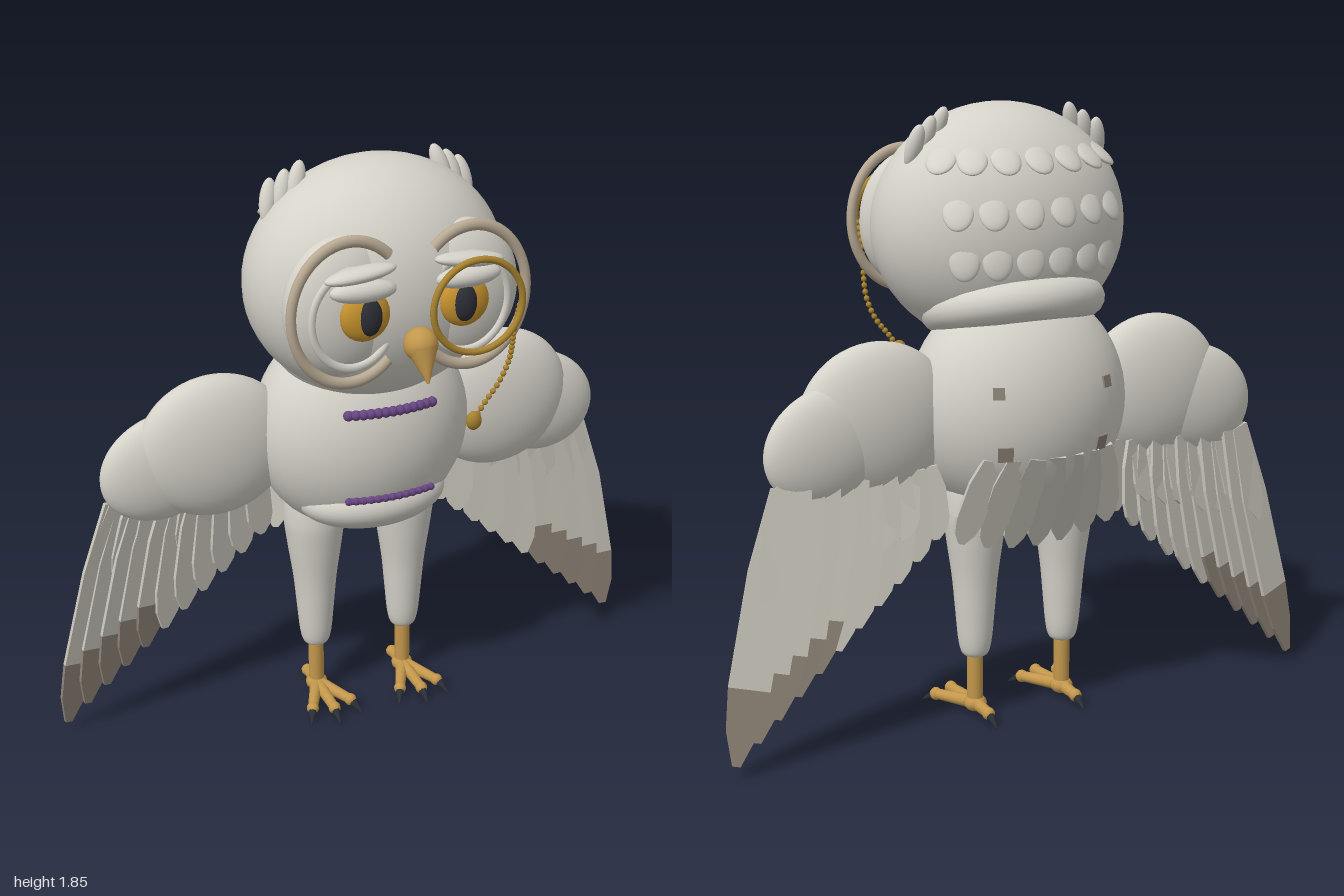
import * as THREE from 'three';

const mat = (name, color) => {
  const m = new THREE.MeshStandardMaterial({ color });
  m.name = name;
  return m;
};
const V = (x, y, z) => new THREE.Vector3(x, y, z);

export function createModel() {
  const plumage = mat('plumage', 0xd5d2c9);
  const quill = mat('quill', 0xc9c6bb);
  const tipBrown = mat('tipBrown', 0x8d8276);
  const beige = mat('beige', 0xb9aa94);
  const horn = mat('horn', 0xc3974c);
  const amber = mat('amber', 0xc8932f);
  const brass = mat('brass', 0xa9832f);
  const dark = mat('dark', 0x2b2e35);
  const purple = mat('purple', 0x674683);

  const root = new THREE.Group();
  root.name = 'owl';
  const add = (name, geo, m, parent = root) => {
    const mesh = new THREE.Mesh(geo, m);
    mesh.name = name;
    parent.add(mesh);
    return mesh;
  };
  // ellipsoid, with fewer segments on small parts
  const blob = (name, m, p, r, rz = 0, parent = root) => {
    const size = Math.max(...r);
    const seg = size > 0.15 ? 40 : size > 0.04 ? 20 : 12;
    const mesh = add(name, new THREE.SphereGeometry(1, seg, Math.round(seg * 0.7)), m, parent);
    mesh.position.set(...p);
    mesh.scale.set(...r);
    mesh.rotation.z = rz;
    return mesh;
  };
  // tapered rod between two points
  const rod = (name, m, a, b, ra, rb, parent = root) => {
    const d = b.clone().sub(a);
    const mesh = add(name, new THREE.CylinderGeometry(rb, ra, d.length(), 14), m, parent);
    mesh.position.copy(a).addScaledVector(d, 0.5);
    mesh.quaternion.setFromUnitVectors(V(0, 1, 0), d.normalize());
    return mesh;
  };
  const plate = (pts, t) => {
    const shape = new THREE.Shape(pts.map(p => new THREE.Vector2(...p)));
    return new THREE.ExtrudeGeometry(shape, { depth: t, bevelEnabled: false }).translate(0, 0, -t / 2);
  };
  // feather blade from base to tip, with a separately coloured end
  const feather = (name, base, tip, w, t, endMat, twist, parent) => {
    const g = new THREE.Group();
    g.name = name;
    const d = tip.clone().sub(base), L = d.length();
    add('blade', plate([[-0.6 * w, 0], [0.6 * w, 0], [w, 0.3 * L], [w, 0.72 * L], [-w, 0.72 * L], [-w, 0.3 * L]], t), quill, g);
    add('bladeTip', plate([[-w, 0.72 * L], [w, 0.72 * L], [0.75 * w, 0.88 * L], [0.2 * w, L], [-0.2 * w, L], [-0.75 * w, 0.88 * L]], t), endMat, g);
    const y = d.normalize(), x = y.clone().cross(V(0, 0, 1)).normalize();
    g.quaternion.setFromRotationMatrix(new THREE.Matrix4().makeBasis(x, y, x.clone().cross(y)));
    g.position.copy(base);
    g.rotateY(twist);
    parent.add(g);
  };

  // torso, belly, collar and head
  blob('body', plumage, [0, 0.97, -0.125], [0.345, 0.35, 0.26]);
  blob('belly', plumage, [0, 0.765, -0.04], [0.24, 0.1, 0.16]);
  const collar = add('collar', new THREE.TorusGeometry(0.18, 0.062, 18, 48).rotateX(Math.PI / 2), plumage);
  collar.position.set(0, 1.255, -0.1);
  collar.scale.x = 1.18;
  collar.rotation.x = 0.25;
  blob('head', plumage, [0, 1.49, -0.01], [0.4, 0.36, 0.295]);

  // feather rows on the back of the head
  for (const [y, spread, n] of [[1.7, 0.95, 7], [1.56, 0.7, 6], [1.42, 0.65, 6]]) {
    const c = Math.sqrt(1 - ((y - 1.49) / 0.36) ** 2);
    for (let i = 0; i < n; i++) {
      const a = spread * (2 * i / (n - 1) - 1);
      const p = [0.395 * c * Math.sin(a), y, -0.01 - 0.29 * c * Math.cos(a)];
      const f = blob('headFeather', plumage, p, [0.045, 0.058, 0.014]);
      f.lookAt(p[0] + p[0] / 0.16, y + (y - 1.49) / 0.13, p[2] + p[2] / 0.087);
      f.rotateX(-0.3);
    }
  }

  // beak
  blob('beak', horn, [0, 1.395, 0.325], [0.05, 0.05, 0.05]);
  rod('beakTip', horn, V(0, 1.385, 0.335), V(0, 1.295, 0.38), 0.046, 0.003);

  for (const s of [1, -1]) {
    const side = new THREE.Group();
    side.name = s > 0 ? 'leftSide' : 'rightSide';
    root.add(side);
    const P = (x, y, z) => V(s * x, y, z);

    // facial disc with a beige rim open towards the beak
    blob('faceDisc', plumage, [s * 0.185, 1.49, 0.19], [0.175, 0.21, 0.088], 0, side);
    const rimGeo = new THREE.TorusGeometry(1, 0.085, 12, 64, 4.6).rotateZ(s > 0 ? -2.3 : Math.PI - 2.3);
    const rim = add('faceRim', rimGeo, beige, side);
    rim.scale.set(0.175, 0.21, 0.17);
    rim.position.set(s * 0.185, 1.49, 0.255);
    const fold = add('faceFold', new THREE.TorusGeometry(1, 0.09, 10, 48), plumage, side);
    fold.scale.set(0.125, 0.145, 0.1);
    fold.position.set(s * 0.175, 1.47, 0.258);

    // eye, lid and brow
    blob('eye', amber, [s * 0.152, 1.488, 0.285], [0.075, 0.075, 0.032], 0, side);
    blob('pupil', dark, [s * 0.145, 1.49, 0.305], [0.036, 0.055, 0.024], 0, side);
    blob('eyelid', plumage, [s * 0.16, 1.565, 0.292], [0.1, 0.033, 0.036], s * 0.03, side);
    blob('brow', plumage, [s * 0.165, 1.612, 0.285], [0.108, 0.022, 0.036], s * -0.1, side);

    // ear tuft
    for (let i = 0; i < 3; i++) {
      const p = [s * (0.225 + i * 0.04), 1.782 - i * 0.024, -0.05 - i * 0.008];
      const tuft = blob('earTuft', plumage, p, [0.026, 0.066, 0.022], s * (0.3 - i * 0.05), side);
      tuft.rotation.x = -0.25;
    }

    // wing muscles
    blob('shoulder', plumage, [s * 0.47, 0.965, -0.135], [0.245, 0.23, 0.095], 0, side);
    blob('forearm', plumage, [s * 0.625, 0.915, -0.155], [0.205, 0.17, 0.07], s * -0.35, side);

    // flight feathers, overlapping from the body out to the wing tip
    const n = 11;
    for (let i = 0; i < n; i++) {
      const t = i / (n - 1);
      const base = P(0.33 + 0.45 * t, 0.82 - 0.01 * t, -0.18 - 0.01 * (i % 2));
      const tip = P(0.31 + 0.655 * t, 0.6 - 0.56 * t, -0.195 - 0.035 * t);
      feather('flightFeather', base, tip, 0.046 + 0.014 * t, 0.012, i > 5 ? tipBrown : quill, s * 0.3, side);
    }
    // shorter covert feathers
    for (let i = 0; i < 7; i++) {
      const t = i / 6;
      feather('covert', P(0.4 + 0.36 * t, 0.84, -0.175), P(0.42 + 0.43 * t, 0.62 - 0.12 * t, -0.205), 0.045, 0.012, quill, s * 0.25, side);
    }

    // leg: feathered thigh, bare shank
    const profile = [[0, 0.2], [0.035, 0.2], [0.05, 0.24], [0.06, 0.34], [0.07, 0.45], [0.088, 0.58], [0.096, 0.67], [0.08, 0.76], [0, 0.8]];
    const curve = new THREE.SplineCurve(profile.map(p => new THREE.Vector2(...p)));
    const outline = curve.getPoints(40).map(p => new THREE.Vector2(Math.max(0, p.x), p.y));
    const thigh = add('thigh', new THREE.LatheGeometry(outline, 28), plumage, side);
    thigh.position.set(s * 0.153, 0, -0.14);
    rod('shank', horn, P(0.153, 0.04, -0.14), P(0.153, 0.22, -0.14), 0.025, 0.025, side);
    blob('ankle', horn, [s * 0.153, 0.042, -0.14], [0.036, 0.027, 0.036], 0, side);
    // three front toes and one back toe, each with a claw
    for (const [a, len] of [[-0.45, 0.15], [0, 0.16], [0.45, 0.15], [Math.PI, 0.085]]) {
      const at = (r, y) => P(0.153 + r * Math.sin(a), y, -0.14 + r * Math.cos(a));
      rod('toe', horn, at(0, 0.042), at(len, 0.035), 0.021, 0.016, side);
      blob('toeJoint', horn, at(len, 0.035).toArray(), [0.02, 0.02, 0.02], 0, side);
      rod('claw', dark, at(len, 0.037), at(len + 0.052, 0.006), 0.017, 0.002, side);
    }

    // small brown flecks lying on the back
    for (const [x, y, w] of [[0.18, 1.05, 0.035], [0.16, 0.87, 0.045]]) {
      const k = Math.sqrt(1 - (x / 0.345) ** 2 - ((y - 0.97) / 0.35) ** 2);
      const f = add('backFleck', new THREE.BoxGeometry(w, w, 0.009), tipBrown, side);
      f.position.set(s * x, y, -0.125 - 0.26 * k);
      f.lookAt(s * (x + x / 0.119), y + (y - 0.97) / 0.1225, f.position.z - k / 0.26);
    }
  }

  // tail fan
  for (let i = -3; i <= 3; i++) {
    const u = i / 3;
    feather('tailFeather', V(0.19 * u, 0.85, -0.365 + 0.05 * u * u), V(0.25 * u, 0.55 + 0.04 * u * u, -0.235), 0.042, 0.014, quill, 0.15, root);
  }

  // eyeglass with a beaded chain and pendant
  const glass = add('eyeglassRim', new THREE.TorusGeometry(0.138, 0.01, 12, 56), brass);
  glass.position.set(0.168, 1.49, 0.343);
  const chain = new THREE.CatmullRomCurve3([V(0.302, 1.47, 0.335), V(0.31, 1.38, 0.29), V(0.325, 1.26, 0.235), V(0.3, 1.19, 0.225), V(0.25, 1.13, 0.23), V(0.215, 1.085, 0.235)]);
  add('chainCord', new THREE.TubeGeometry(chain, 40, 0.003, 6), brass);
  chain.getSpacedPoints(22).forEach(p => blob('chainBead', brass, p.toArray(), [0.009, 0.009, 0.009]));
  blob('pendant', brass, [0.215, 1.082, 0.235], [0.025, 0.03, 0.018]);

  // purple beaded trim cords across the chest
  for (const [y, z, r] of [[1.1, 0.108, 0.016], [0.815, 0.108, 0.012]]) {
    const cord = new THREE.QuadraticBezierCurve3(V(-0.13, y, z - 0.008), V(0.005, y, z + 0.03), V(0.14, y, z - 0.008));
    add('trimCord', new THREE.TubeGeometry(cord, 24, r * 0.8, 10), purple);
    cord.getSpacedPoints(12).forEach(p => blob('trimBead', purple, p.toArray(), [r, r, r]));
  }
  return root;
}
